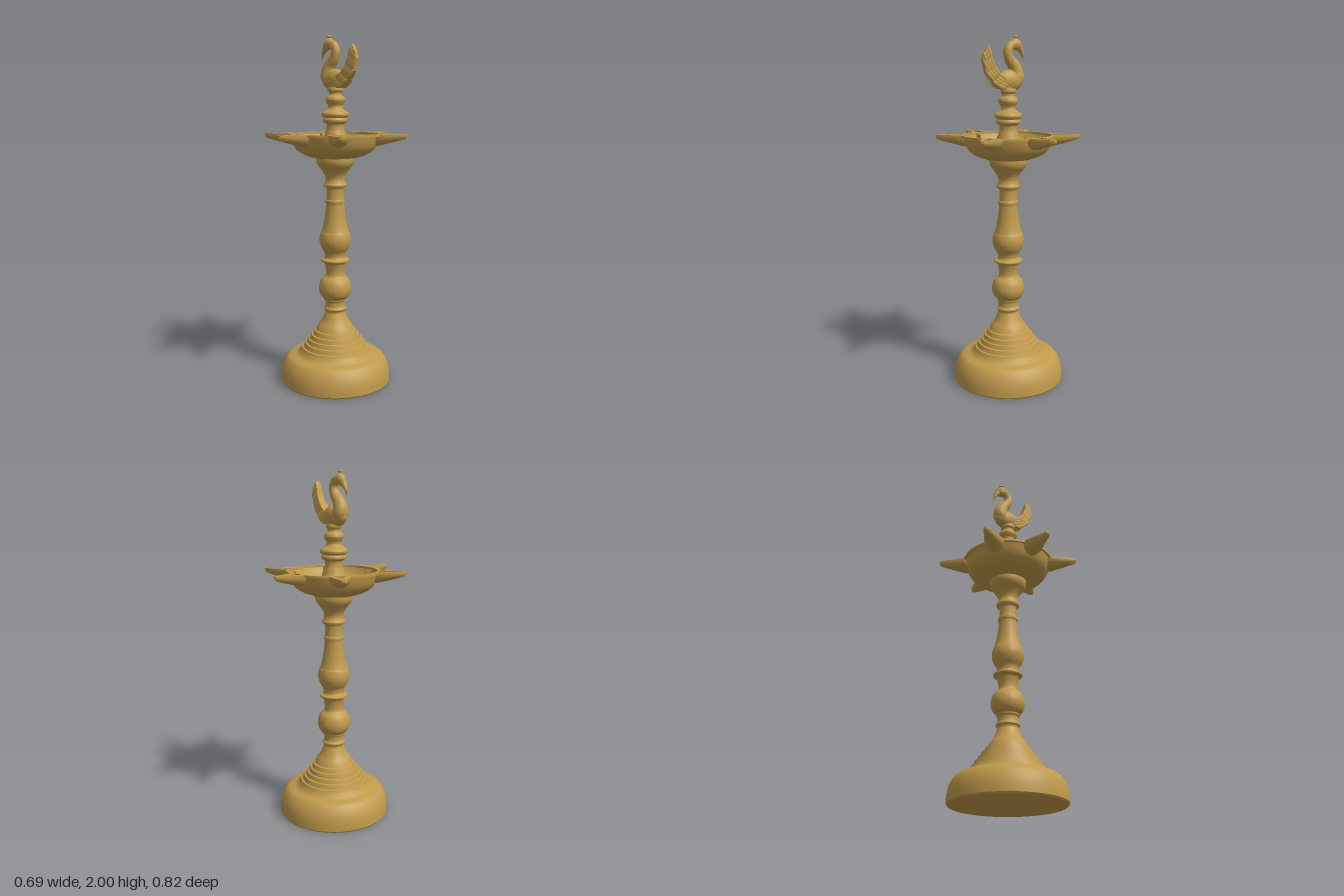
import * as THREE from 'three';
import { toCreasedNormals } from 'three/addons/utils/BufferGeometryUtils.js';

const brass = new THREE.MeshStandardMaterial({ color: 0xc09a4c });
brass.name = 'brass';

const V2 = (p) => new THREE.Vector2(p[0], p[1]);

function add(parent, name, geometry, crease = 0.6) {
  const mesh = new THREE.Mesh(crease ? toCreasedNormals(geometry, crease) : geometry, brass);
  mesh.name = name;
  parent.add(mesh);
  return mesh;
}

// Turned part; smooth profiles run through a spline
function turned(parent, name, profile, smooth = 0) {
  let pts = profile.map(V2);
  if (smooth) pts = new THREE.SplineCurve(pts).getPoints(smooth);
  return add(parent, name, new THREE.LatheGeometry(pts, 64));
}

// Half-round trough along +x from [distance, half width, depth] stations
function trough(stations, top, inward) {
  const n = 12, pos = [], idx = [];
  stations.forEach(([d, w, h], i) => {
    for (let j = 0; j <= n; j++) {
      const t = (j / n) * Math.PI;
      pos.push(d, top - h * Math.sin(t), w * Math.cos(t));
      if (i && j) {
        const a = (i - 1) * (n + 1) + j - 1, b = a + 1, c = a + n + 1, e = c + 1;
        if (inward) idx.push(a, c, b, b, c, e);
        else idx.push(a, b, c, b, e, c);
      }
    }
  });
  const g = new THREE.BufferGeometry();
  g.setAttribute('position', new THREE.Float32BufferAttribute(pos, 3));
  g.setIndex(idx);
  return g;
}

// Tube whose radius follows a list of values
function taperedTube(points, radii, segs = 40, sides = 20) {
  const curve = new THREE.CatmullRomCurve3(points.map((p) => new THREE.Vector3(p[0], p[1], 0)));
  const g = new THREE.TubeGeometry(curve, segs, 1, sides);
  const pos = g.attributes.position, v = new THREE.Vector3();
  for (let i = 0; i <= segs; i++) {
    const c = curve.getPointAt(i / segs);
    const f = (i / segs) * (radii.length - 1), k = Math.min(Math.floor(f), radii.length - 2);
    const r = THREE.MathUtils.lerp(radii[k], radii[k + 1], f - k);
    for (let j = 0; j <= sides; j++) {
      const n = i * (sides + 1) + j;
      v.fromBufferAttribute(pos, n).sub(c).multiplyScalar(r).add(c);
      pos.setXYZ(n, v.x, v.y, v.z);
    }
  }
  return g;
}

function ellipsoid(parent, name, x, y, z, sx, sy, sz, turn = 0) {
  const mesh = add(parent, name, new THREE.SphereGeometry(1, 24, 16), 0);
  mesh.position.set(x, y, z);
  mesh.scale.set(sx, sy, sz);
  mesh.rotation.z = turn;
  return mesh;
}

function buildDish(parent) {
  const dish = new THREE.Group();
  dish.name = 'lampDish';
  parent.add(dish);
  turned(dish, 'bowl', [[0.09, 1.312], [0.13, 1.317], [0.17, 1.33], [0.2, 1.345], [0.222, 1.363],
    [0.237, 1.388], [0.246, 1.415], [0.253, 1.442], [0.246, 1.442], [0.238, 1.418], [0.22, 1.392],
    [0.19, 1.374], [0.15, 1.366], [0.115, 1.37], [0.088, 1.385], [0.07, 1.415], [0.06, 1.45]]);

  // Flat rim with six pointed spouts, pierced by the bowl and the wick channels
  const angles = [33.7, 90, 146.3, 218.7, 270, 321.3].map((a) => (a * Math.PI) / 180);
  const place = (a, list) => list.map(([d, w]) => new THREE.Vector2(
    d * Math.cos(a) - w * Math.sin(a), d * Math.sin(a) + w * Math.cos(a)));
  const outline = [];
  angles.forEach((a, i) => {
    outline.push(...place(a, [[0.262, -0.058], [0.4, -0.016], [0.408, -0.009], [0.41, 0],
      [0.408, 0.009], [0.4, 0.016], [0.262, 0.058]]));
    const next = angles[(i + 1) % 6] + (i === 5 ? Math.PI * 2 : 0);
    for (const f of [0.36, 0.5, 0.64]) {
      outline.push(...place(a + (next - a) * f, [[0.267, 0]]));
    }
  });
  const shape = new THREE.Shape(outline);
  shape.holes.push(new THREE.Path().absarc(0, 0, 0.245, 0, Math.PI * 2, true));
  angles.forEach((a) => shape.holes.push(new THREE.Path(place(a,
    [[0.253, 0.03], [0.385, 0.004], [0.385, -0.004], [0.253, -0.03]]))));
  const rim = new THREE.ExtrudeGeometry(shape, { depth: 0.012, bevelEnabled: false, curveSegments: 48 });
  add(dish, 'starRim', rim.rotateX(-Math.PI / 2).translate(0, 1.44, 0));

  // Rounded undersides and hollow channels of the spouts
  const under = trough([[0.21, 0.045, 0.05], [0.235, 0.055, 0.056], [0.262, 0.058, 0.052],
    [0.31, 0.043, 0.04], [0.36, 0.028, 0.027], [0.4, 0.016, 0.015], [0.41, 0.002, 0.002]], 1.441, false);
  const channel = trough([[0.253, 0.03, 0.002], [0.266, 0.028, 0.034], [0.31, 0.019, 0.027],
    [0.36, 0.009, 0.014], [0.385, 0.004, 0.002]], 1.441, true);
  angles.forEach((a) => {
    add(dish, 'spout', under, 0.9).rotation.y = a;
    add(dish, 'wickChannel', channel, 0.5).rotation.y = a;
  });
}

function buildSwan(parent) {
  const swan = new THREE.Group();
  swan.name = 'swanFinial';
  parent.add(swan);
  ellipsoid(swan, 'body', -0.012, 1.752, 0, 0.086, 0.06, 0.045);
  add(swan, 'neck', taperedTube(
    [[-0.03, 1.735], [-0.056, 1.775], [-0.045, 1.825], [-0.012, 1.865], [0.003, 1.905],
      [-0.015, 1.94], [-0.05, 1.95]],
    [0.042, 0.045, 0.038, 0.031, 0.026, 0.025, 0.026]), 0.9);
  ellipsoid(swan, 'head', -0.054, 1.948, 0, 0.037, 0.031, 0.027, 0.5);
  add(swan, 'beak', taperedTube([[-0.07, 1.938], [-0.092, 1.91], [-0.103, 1.885], [-0.108, 1.86]],
    [0.021, 0.015, 0.009, 0.002], 16, 14), 0.9);
  turned(swan, 'crestKnob', [[0.018, 1.97], [0.009, 1.978], [0.007, 1.982], [0.012, 1.987],
    [0.012, 1.993], [0.007, 1.999], [0, 2]]).position.x = -0.052;
  for (const s of [1, -1]) ellipsoid(swan, 'eye', -0.066, 1.95, s * 0.025, 0.006, 0.006, 0.004);

  // Upswept wings joined over the tail, thinning toward the tip
  const half = (x) => THREE.MathUtils.lerp(0.042, 0.012, THREE.MathUtils.clamp(x / 0.16, 0, 1));
  const edge = [[0, 1.71], [0.05, 1.705], [0.09, 1.725], [0.125, 1.765], [0.158, 1.795],
    [0.165, 1.83], [0.176, 1.86], [0.168, 1.895], [0.142, 1.937], [0.126, 1.915], [0.116, 1.87],
    [0.1, 1.83], [0.068, 1.79], [0.03, 1.772], [0, 1.765]];
  const wing = new THREE.ExtrudeGeometry(new THREE.Shape(edge.map(V2)),
    { depth: 2, bevelEnabled: false }).translate(0, 0, -1);
  const p = wing.attributes.position;
  for (let i = 0; i < p.count; i++) p.setZ(i, p.getZ(i) * half(p.getX(i)) * 0.85);
  add(swan, 'wings', wing, 0.5);

  // Overlapping feathers: rows of [x, y, length, width, angle]
  const rows = [
    { n: 4, from: [0.01, 1.75], to: [0.06, 1.72], len: 0.03, wide: 0.013, turn: 0.25 },
    { n: 4, from: [0.05, 1.77], to: [0.09, 1.735], len: 0.034, wide: 0.012, turn: 0.6 },
    { n: 4, from: [0.092, 1.803], to: [0.13, 1.777], len: 0.036, wide: 0.012, turn: 0.85 },
    { n: 4, from: [0.118, 1.85], to: [0.153, 1.825], len: 0.04, wide: 0.01, turn: 1.15 },
    { n: 3, from: [0.134, 1.897], to: [0.16, 1.872], len: 0.034, wide: 0.01, turn: 1.35 },
  ];
  for (const s of [1, -1]) {
    for (const r of rows) {
      for (let i = 0; i < r.n; i++) {
        const f = i / (r.n - 1);
        const x = THREE.MathUtils.lerp(r.from[0], r.to[0], f);
        const y = THREE.MathUtils.lerp(r.from[1], r.to[1], f);
        const feather = ellipsoid(swan, 'feather', x, y, s * half(x) * 0.85, r.len, r.wide, 0.006, r.turn);
        feather.rotation.order = 'YXZ';
        feather.rotation.y = s * 0.16;
      }
    }
  }
}

export function createModel() {
  const lamp = new THREE.Group();
  lamp.name = 'oilLamp';

  // Domed foot with a stepped cone
  turned(lamp, 'base', [[0, 0], [0.316, 0], [0.322, 0.008], [0.321, 0.05], [0.314, 0.085],
    [0.301, 0.118], [0.283, 0.142], [0.268, 0.154], [0.235, 0.157], [0.222, 0.163], [0.203, 0.182],
    [0.197, 0.2], [0.186, 0.203], [0.178, 0.226], [0.167, 0.229], [0.16, 0.25], [0.149, 0.253],
    [0.142, 0.275], [0.13, 0.278], [0.122, 0.3], [0.111, 0.305], [0.098, 0.335], [0.088, 0.345],
    [0.074, 0.37], [0.064, 0.395], [0.058, 0.41]]);

  // Baluster shaft
  turned(lamp, 'shaft', [[0.058, 0.405], [0.059, 0.42], [0.066, 0.427], [0.066, 0.436], [0.058, 0.445],
    [0.057, 0.475], [0.064, 0.483], [0.065, 0.492], [0.075, 0.5], [0.088, 0.52], [0.095, 0.55],
    [0.09, 0.585], [0.077, 0.61], [0.06, 0.625], [0.054, 0.64], [0.054, 0.665], [0.06, 0.695],
    [0.066, 0.708], [0.08, 0.714], [0.081, 0.726], [0.065, 0.732], [0.06, 0.745], [0.064, 0.768],
    [0.08, 0.795], [0.09, 0.825], [0.091, 0.85], [0.085, 0.878], [0.079, 0.89], [0.068, 0.93],
    [0.058, 0.99], [0.052, 1.052], [0.058, 1.06], [0.058, 1.072], [0.051, 1.08], [0.05, 1.14],
    [0.064, 1.15], [0.067, 1.163], [0.06, 1.173], [0.055, 1.195], [0.062, 1.22], [0.08, 1.248],
    [0.096, 1.268], [0.105, 1.285], [0.108, 1.3], [0.108, 1.318]], 260);

  buildDish(lamp);

  // Turned stem between dish and swan
  turned(lamp, 'upperStem', [[0.064, 1.42], [0.058, 1.45], [0.05, 1.475], [0.05, 1.505], [0.068, 1.517],
    [0.07, 1.53], [0.064, 1.54], [0.076, 1.55], [0.077, 1.565], [0.062, 1.578], [0.044, 1.592],
    [0.042, 1.61], [0.052, 1.628], [0.056, 1.642], [0.049, 1.657], [0.037, 1.667], [0.036, 1.68],
    [0.044, 1.693], [0.04, 1.71]], 100);

  buildSwan(lamp);
  return lamp;
}
